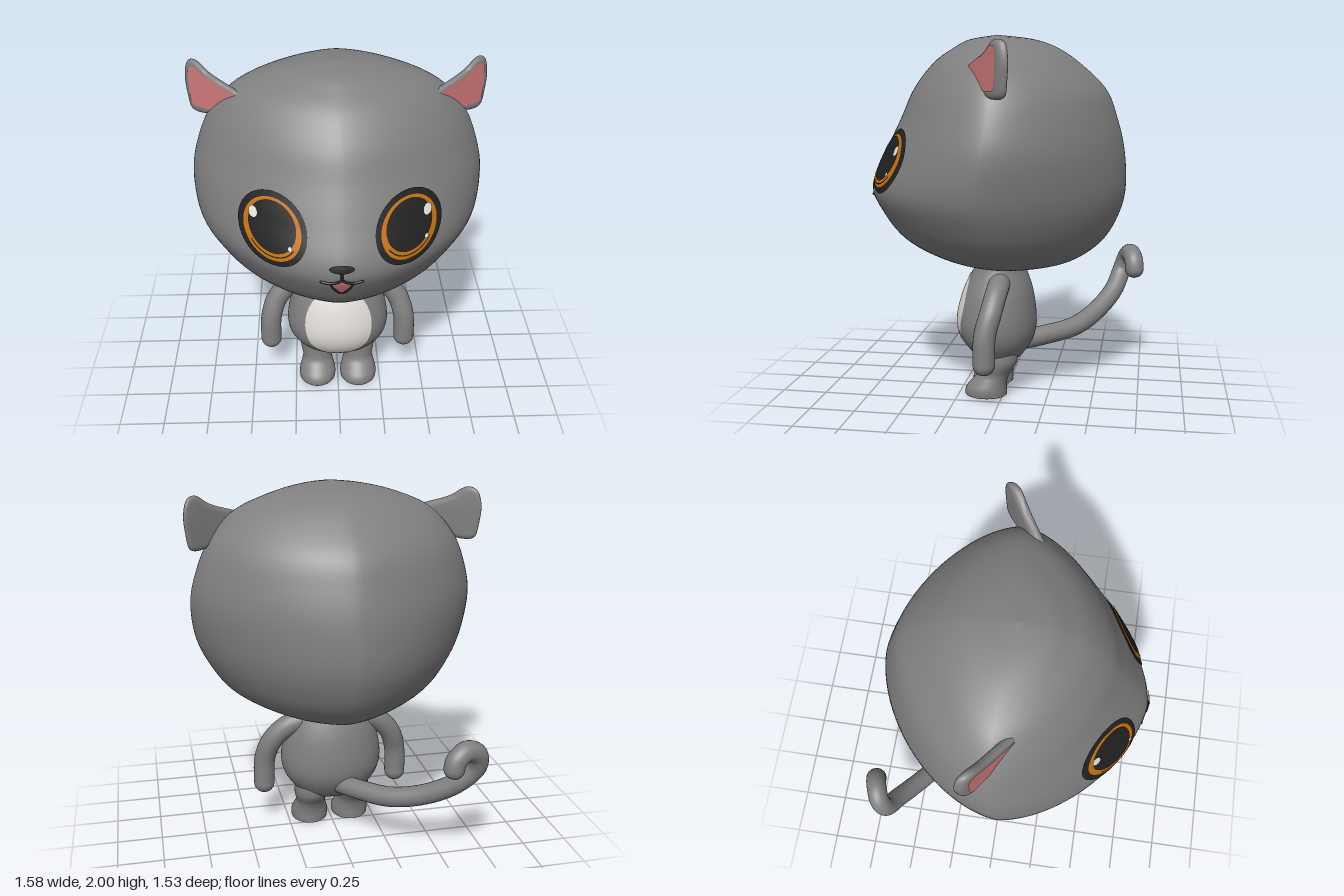
import * as THREE from 'three';
import { mergeVertices, toCreasedNormals } from 'three/addons/utils/BufferGeometryUtils.js';

const V = (x, y, z) => new THREE.Vector3(x, y, z);

function paint(name, color) {
  const m = new THREE.MeshStandardMaterial({ color });
  m.name = name;
  return m;
}

// Body of stacked rounded sections; each row is [y, halfWidth, frontZ, backZ], top to bottom.
function loft(rows, n = 2, rings = 64, sides = 96) {
  const front = new THREE.CatmullRomCurve3(rows.map(([y, a, f]) => V(a, y, f)), false, 'catmullrom', 0.5);
  const back = new THREE.CatmullRomCurve3(rows.map(([y, a, f, b]) => V(a, y, b)), false, 'catmullrom', 0.5);
  const pow = (v) => Math.sign(v) * Math.abs(v) ** (2 / n);
  const pos = [], index = [];
  for (let i = 0; i <= rings; i++) {
    const p = front.getPoint(i / rings), q = back.getPoint(i / rings);
    for (let j = 0; j < sides; j++) {
      const t = (j / sides) * Math.PI * 2;
      pos.push(p.x * pow(Math.cos(t)), p.y, (p.z + q.z) / 2 + (p.z - q.z) / 2 * pow(Math.sin(t)));
      if (i === rings) continue;
      const a = i * sides + j, b = i * sides + (j + 1) % sides;
      index.push(a, b, a + sides, b, b + sides, a + sides);
    }
  }
  const geometry = new THREE.BufferGeometry();
  geometry.setAttribute('position', new THREE.Float32BufferAttribute(pos, 3));
  geometry.setIndex(index);
  geometry.computeVertexNormals();
  // Depth of the front surface at (x, y), used to lay details on it
  const frontZ = (x, y) => {
    let lo = 0, hi = 1;
    for (let k = 0; k < 30; k++) {
      const mid = (lo + hi) / 2;
      if (front.getPoint(mid).y > y) lo = mid; else hi = mid;
    }
    const p = front.getPoint(lo), q = back.getPoint(lo);
    const u = Math.min(1, Math.abs(x) / p.x);
    return (p.z + q.z) / 2 + (p.z - q.z) / 2 * (1 - u ** n) ** (1 / n);
  };
  return { geometry, frontZ };
}

// Tube with rounded ends
function limb(points, radius, steps = 96, sides = 24) {
  const curve = new THREE.CatmullRomCurve3(points.map((p) => V(...p)));
  const length = curve.getLength();
  let g = new THREE.TubeGeometry(curve, steps, radius, sides);
  const p = g.attributes.position, v = V(0, 0, 0);
  for (let i = 0; i <= steps; i++) {
    const c = curve.getPointAt(i / steps);
    const s = Math.min(1, Math.min(i, steps - i) / steps * length / radius);
    const k = Math.max(0.01, Math.sqrt(1 - (1 - s) ** 2));
    for (let j = 0; j <= sides; j++) {
      const n = i * (sides + 1) + j;
      v.fromBufferAttribute(p, n).sub(c).multiplyScalar(k).add(c);
      p.setXYZ(n, v.x, v.y, v.z);
    }
  }
  g.deleteAttribute('uv');
  g.deleteAttribute('normal');
  g = mergeVertices(g, 1e-5);
  g.computeVertexNormals();
  return g;
}

// Lay a flat geometry onto the front of a lofted body
function decal(body, g, offset) {
  const p = g.attributes.position;
  for (let i = 0; i < p.count; i++) p.setZ(i, body.frontZ(p.getX(i), p.getY(i)) + offset);
  g.computeVertexNormals();
  return g;
}

const disc = (x, y, rx, ry = rx, seg = 48) =>
  new THREE.RingGeometry(0, 1, seg, 8).scale(rx, ry, 1).translate(x, y, 0);

export function createModel() {
  const model = new THREE.Group();
  const grey = paint('grey fur', 0x808080);
  const cream = paint('belly white', 0xdedbd6);
  const pink = paint('pink', 0xd07a7a);
  const orange = paint('iris orange', 0xc8720f);
  const black = paint('black', 0x222222);
  const white = paint('eye highlight', 0xf0f0f0);
  const add = (name, geometry, material, parent = model) => {
    const m = new THREE.Mesh(geometry, material);
    m.name = name;
    parent.add(m);
    return m;
  };

  // Head
  const head = loft([
    [2.0, 0, 0.05, 0.05], [1.975, 0.2, 0.2, -0.15], [1.93, 0.37, 0.29, -0.28],
    [1.85, 0.54, 0.4, -0.4], [1.71, 0.665, 0.51, -0.545], [1.55, 0.735, 0.585, -0.61],
    [1.38, 0.77, 0.67, -0.65], [1.18, 0.75, 0.757, -0.66], [1.03, 0.685, 0.7, -0.625],
    [0.89, 0.58, 0.587, -0.545], [0.79, 0.41, 0.41, -0.42], [0.745, 0.25, 0.24, -0.29],
    [0.725, 0, -0.03, -0.03],
  ], 1.62);
  add('head', head.geometry, grey);

  // Torso and belly patch
  const torso = loft([
    [0.8, 0, 0.03, 0.03], [0.77, 0.16, 0.14, -0.08], [0.7, 0.2, 0.185, -0.11],
    [0.58, 0.26, 0.24, -0.15], [0.44, 0.29, 0.275, -0.17], [0.34, 0.28, 0.265, -0.165],
    [0.26, 0.235, 0.215, -0.13], [0.19, 0.16, 0.13, -0.07], [0.15, 0, 0.03, 0.03],
  ]);
  add('torso', torso.geometry, grey);
  add('belly', decal(torso, disc(0, 0.465, 0.19, 0.23), 0.004), cream);

  // Tail with curled tip
  add('tail', limb([
    [0, 0.28, -0.06], [-0.1, 0.29, -0.2], [-0.25, 0.31, -0.37], [-0.41, 0.37, -0.49],
    [-0.55, 0.47, -0.585], [-0.638, 0.58, -0.63], [-0.625, 0.665, -0.66],
    [-0.56, 0.697, -0.685], [-0.5, 0.66, -0.705], [-0.48, 0.56, -0.71],
  ], 0.056, 140), grey);

  const leg = loft([
    [0.3, 0.09, 0.13, -0.08], [0.2, 0.098, 0.125, -0.08], [0.13, 0.085, 0.135, -0.04],
    [0.09, 0.094, 0.17, -0.025], [0.05, 0.106, 0.205, -0.02], [0.015, 0.106, 0.215, -0.02],
    [0, 0.092, 0.2, -0.01], [0, 0, 0.1, 0.1],
  ], 2, 40, 40).geometry;

  for (const s of [1, -1]) {
    const side = s > 0 ? 'left' : 'right';
    add(side + 'Leg', leg, grey).position.x = 0.122 * s;
    add(side + 'Arm', limb([
      [0.13, 0.66, 0.01], [0.2, 0.65, 0.01], [0.28, 0.61, 0.015], [0.35, 0.53, 0.03],
      [0.387, 0.42, 0.055], [0.394, 0.3, 0.06], [0.392, 0.2, 0.058],
    ].map(([x, y, z]) => [x * s, y, z]), 0.06), grey);

    // Ear: rounded slab swept backwards toward its outer edge, with a pink inner plate
    const outline = (pts) => new THREE.Shape(
      new THREE.SplineCurve([...pts, pts[0]].map(([x, y]) => new THREE.Vector2(x * s, y))).getPoints(48).slice(0, -1));
    const sweep = (g) => {
      const p = g.attributes.position;
      for (let i = 0; i < p.count; i++) p.setZ(i, p.getZ(i) + 0.005 - 0.7 * (Math.abs(p.getX(i)) - 0.62));
      g.computeVertexNormals();
      return g;
    };
    const ear = new THREE.Group();
    ear.name = side + 'Ear';
    model.add(ear);
    const slab = new THREE.ExtrudeGeometry(outline([
      [0.48, 1.84], [0.56, 1.868], [0.65, 1.905], [0.72, 1.955], [0.77, 1.94],
      [0.79, 1.86], [0.782, 1.76], [0.765, 1.69], [0.71, 1.675], [0.62, 1.7], [0.52, 1.76],
    ]), { depth: 0.01, bevelThickness: 0.025, bevelSize: 0.025, bevelOffset: -0.025, bevelSegments: 5 });
    add('outerEar', toCreasedNormals(sweep(slab.translate(0, 0, -0.005)), 0.9), grey, ear);
    add('innerEar', sweep(new THREE.ShapeGeometry(outline([
      [0.5, 1.825], [0.58, 1.86], [0.66, 1.888], [0.73, 1.93], [0.765, 1.91],
      [0.768, 1.84], [0.758, 1.73], [0.71, 1.715], [0.62, 1.72], [0.54, 1.76],
    ])).translate(0, 0, 0.034)), pink, ear);

    // Eye: layered discs following the face
    const eye = new THREE.Group();
    eye.name = side + 'Eye';
    model.add(eye);
    const x = 0.336 * s;
    add('eyeRim', decal(head, disc(x, 1.336, 0.172), 0.007), black, eye);
    add('iris', decal(head, disc(x, 1.338, 0.144), 0.012), orange, eye);
    add('pupil', decal(head, disc(x, 1.352, 0.119), 0.017), black, eye);
    const arc = new THREE.RingGeometry(0.127, 0.133, 32, 1, Math.PI * 1.2, Math.PI * 0.6);
    add('irisLine', decal(head, arc.translate(x, 1.345, 0), 0.016), black, eye);
    add('largeHighlight', decal(head, disc(0.43 * s, 1.398, 0.022, 0.027, 12), 0.022), white, eye);
    add('smallHighlight', decal(head, disc(s > 0 ? 0.425 : -0.248, 1.275, 0.01, 0.012, 10), 0.022), white, eye);
  }

  // Nose
  add('nose', decal(head, disc(0, 1.207, 0.062, 0.021), 0.008), black);

  // Open mouth: plate tapering downwards
  const mouth = new THREE.PlaneGeometry(2, 1, 12, 8);
  const mp = mouth.attributes.position;
  for (let i = 0; i < mp.count; i++) {
    const u = mp.getX(i), v = mp.getY(i) + 0.5;
    mp.setXY(i, u * 0.055 * v ** 0.8, 1.042 + v * (0.1 - 0.022 * Math.abs(u)));
  }
  add('mouth', decal(head, mouth, 0.005), pink);

  // Mouth lines
  const line = (name, pts) => add(name,
    limb(pts.map(([x, y]) => [x, y, head.frontZ(x, y) + 0.004]), 0.007, 40, 8), black);
  line('lipGroove', [[0, 1.2], [0, 1.17], [0, 1.138]]);
  line('upperLip', [[-0.108, 1.128], [-0.06, 1.12], [-0.025, 1.13], [0, 1.145], [0.025, 1.13], [0.06, 1.12], [0.108, 1.128]]);
  line('lowerLip', [[-0.058, 1.125], [-0.036, 1.075], [0, 1.04], [0.036, 1.075], [0.058, 1.125]]);

  return model;
}
